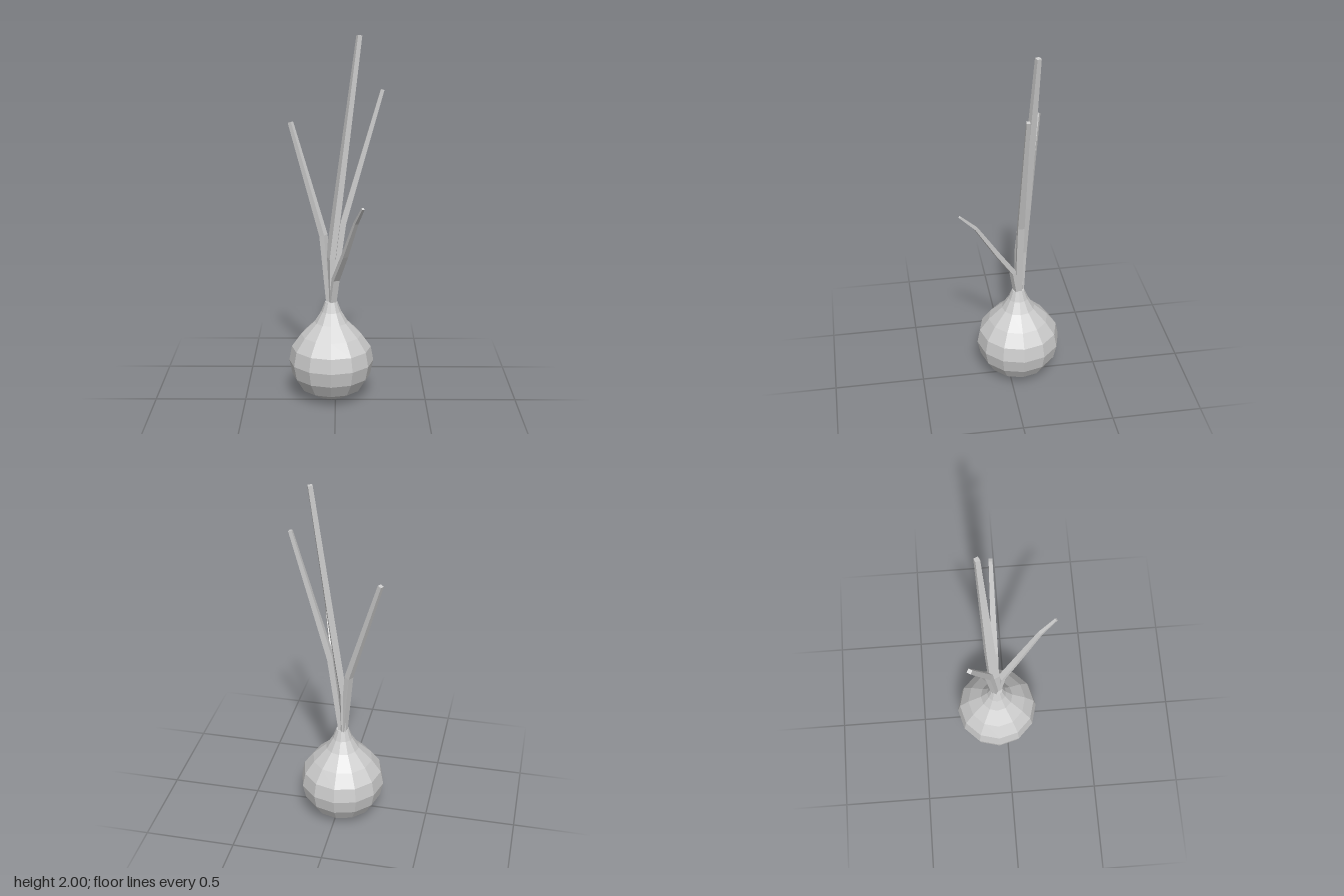
import * as THREE from 'three';

const material = new THREE.MeshStandardMaterial({ color: 0xcccccc, flatShading: true });

// Tapered rectangular sweep; each station is [x, y, z, width, thickness]
function leafGeometry(stations) {
  const pts = stations.map(([x, y, z]) => new THREE.Vector3(x, y, z));
  const first = pts[0], last = pts[pts.length - 1];
  // the broad side stays level, square to the direction of lean
  const side = new THREE.Vector3(last.z - first.z, 0, first.x - last.x).normalize();
  const positions = [], index = [];
  stations.forEach(([, , , width, thick], i) => {
    const tangent = pts[Math.min(i + 1, pts.length - 1)].clone()
      .sub(pts[Math.max(i - 1, 0)]).normalize();
    const normal = new THREE.Vector3().crossVectors(tangent, side).normalize();
    for (const [u, v] of [[-1, -1], [1, -1], [1, 1], [-1, 1]]) {
      const p = pts[i].clone()
        .addScaledVector(side, u * width / 2)
        .addScaledVector(normal, v * thick / 2);
      positions.push(p.x, p.y, p.z);
    }
  });
  for (let i = 0; i < stations.length - 1; i++) {
    for (let j = 0; j < 4; j++) {
      const a = i * 4 + j, b = i * 4 + (j + 1) % 4;
      index.push(a, b, b + 4, a, b + 4, a + 4);
    }
  }
  const e = (stations.length - 1) * 4;
  index.push(0, 2, 1, 0, 3, 2, e, e + 1, e + 2, e, e + 2, e + 3);
  const g = new THREE.BufferGeometry();
  g.setAttribute('position', new THREE.Float32BufferAttribute(positions, 3));
  g.setIndex(index);
  const flat = g.toNonIndexed();
  flat.computeVertexNormals();
  return flat;
}

export function createModel() {
  const model = new THREE.Group();
  const add = (name, geometry) => {
    const mesh = new THREE.Mesh(geometry, material);
    mesh.name = name;
    model.add(mesh);
    return mesh;
  };

  // Twelve-sided bulb narrowing to a neck
  const profile = [
    [0, 0], [0.095, 0.017], [0.172, 0.062], [0.217, 0.135], [0.234, 0.215], [0.219, 0.295],
    [0.167, 0.367], [0.092, 0.44], [0.055, 0.5], [0.034, 0.555], [0, 0.555],
  ].map(([r, y]) => new THREE.Vector2(r, y));
  add('bulb', new THREE.LatheGeometry(profile, 12)).position.set(-0.023, 0, -0.055);

  // Four leaves rising from the neck
  add('tallLeaf', leafGeometry([
    [-0.027, 0.53, -0.062, 0.045, 0.025],
    [-0.026, 0.8, -0.068, 0.058, 0.034],
    [0.012, 1.1, -0.085, 0.05, 0.034],
    [0.125, 1.998, -0.123, 0.024, 0.024],
  ]));
  add('leftLeaf', leafGeometry([
    [-0.03, 0.53, -0.064, 0.035, 0.025],
    [-0.066, 0.92, -0.098, 0.036, 0.032],
    [-0.245, 1.527, -0.195, 0.022, 0.022],
  ]));
  add('rightLeaf', leafGeometry([
    [-0.018, 0.53, -0.055, 0.035, 0.025],
    [0.042, 1.0, -0.057, 0.036, 0.032],
    [0.247, 1.72, -0.055, 0.019, 0.019],
  ]));
  add('frontLeaf', leafGeometry([
    [-0.018, 0.53, -0.048, 0.035, 0.025],
    [0.001, 0.69, -0.022, 0.036, 0.027],
    [0.05, 0.85, 0.075, 0.03, 0.025],
    [0.108, 1.06, 0.195, 0.021, 0.018],
    [0.142, 1.155, 0.28, 0.014, 0.011],
  ]));
  return model;
}
